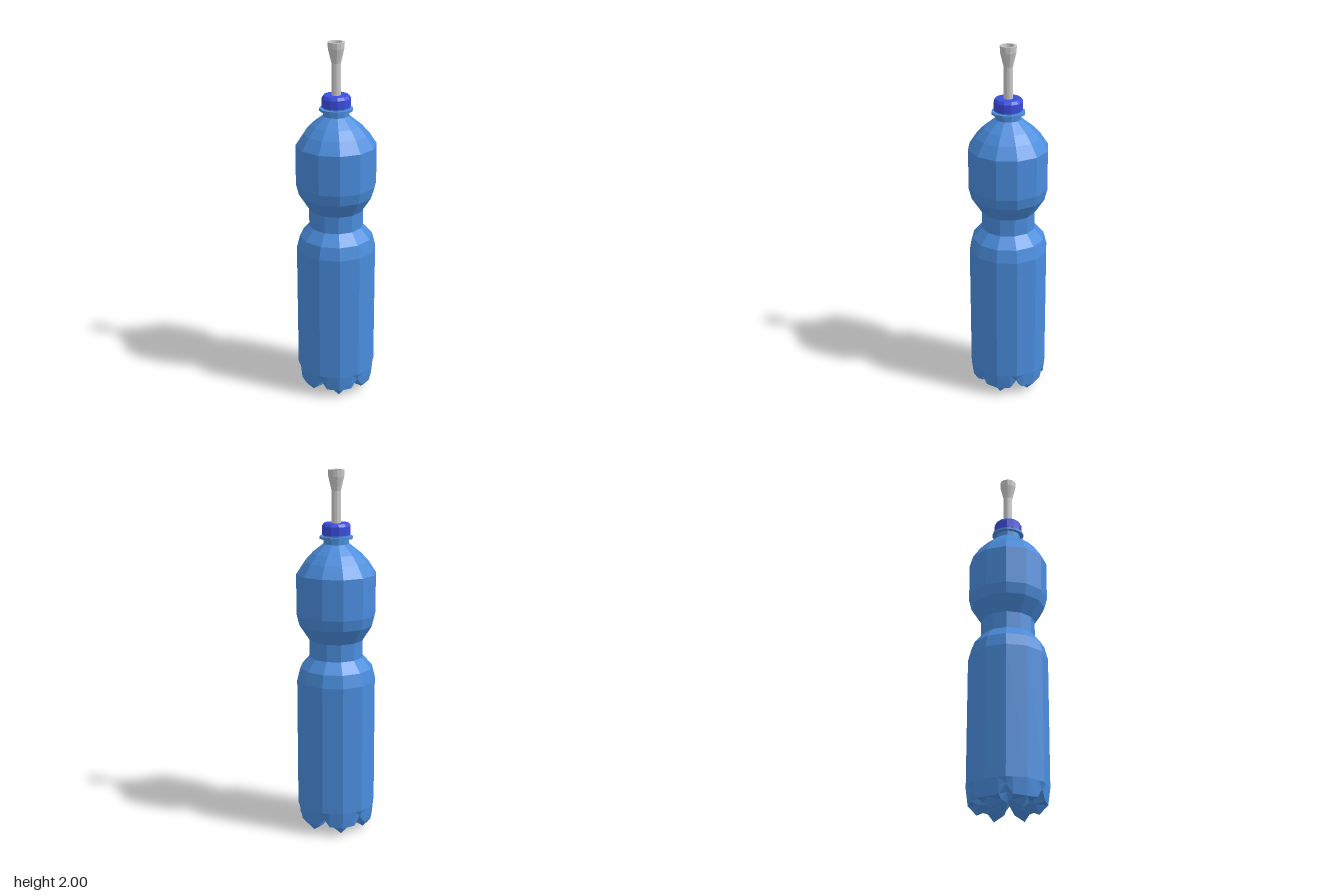
import * as THREE from 'three';

const material = (color) => new THREE.MeshStandardMaterial({
  color, flatShading: true, side: THREE.DoubleSide,
});

// Twelve-sided turned part from [radius, height] pairs
function turned(name, profile, mat) {
  const points = profile.map(([r, y]) => new THREE.Vector2(r, y));
  const mesh = new THREE.Mesh(new THREE.LatheGeometry(points, 12), mat);
  mesh.name = name;
  return mesh;
}

// Base with six feet: per 60 degrees a notch, a foot side, a foot centre, a foot side
function footedBase(mat) {
  const offsets = [0, 10, 30, 50];
  const rimR = (deg) => 0.218 * Math.cos(Math.PI / 12)
    / Math.cos(THREE.MathUtils.degToRad((deg % 30) - 15));
  const notch = [[0.205, 0.105], [0.12, 0.088], [0, 0.065]];
  const side = [[0.203, 0.055], [0.15, 0.04], [0, 0.065]];
  const foot = [[0.206, 0.05], [0.16, 0], [0, 0.065]];
  const columns = [];
  for (let k = 0; k < 6; k++) {
    offsets.forEach((o, i) => {
      const deg = k * 60 + o;
      const a = THREE.MathUtils.degToRad(deg);
      const rows = [[rimR(deg), 0.14], ...[notch, side, foot, side][i]];
      columns.push(rows.map(([r, y]) => [r * Math.cos(a), y, r * Math.sin(a)]));
    });
  }
  const pos = [];
  columns.forEach((c, i) => {
    const d = columns[(i + 1) % columns.length];
    // Mirror the quad split so each foot is symmetric
    const flip = i % 4 < 2;
    for (let j = 0; j < 3; j++) {
      if (j === 2) pos.push(...c[j], ...d[j], ...c[j + 1]);
      else if (flip) pos.push(...c[j], ...d[j], ...c[j + 1], ...d[j], ...d[j + 1], ...c[j + 1]);
      else pos.push(...c[j], ...d[j], ...d[j + 1], ...c[j], ...d[j + 1], ...c[j + 1]);
    }
  });
  const geo = new THREE.BufferGeometry();
  geo.setAttribute('position', new THREE.Float32BufferAttribute(pos, 3));
  geo.computeVertexNormals();
  const mesh = new THREE.Mesh(geo, mat);
  mesh.name = 'footedBase';
  return mesh;
}

export function createModel() {
  const group = new THREE.Group();
  group.name = 'bottle';
  const blue = material(0x4a8ddd);
  const capBlue = material(0x3a4ee0);
  const grey = material(0xcccccc);

  group.add(footedBase(blue));

  // Wall with a pinched waist and a domed shoulder
  group.add(turned('body', [
    [0.218, 0.14], [0.218, 0.86], [0.2, 0.93], [0.148, 0.99], [0.148, 1.085],
    [0.203, 1.17], [0.218, 1.23], [0.218, 1.45], [0.175, 1.515], [0.133, 1.56],
    [0.07, 1.61],
  ], blue));

  // Neck with its collar ring
  group.add(turned('neck', [
    [0.07, 1.605], [0.07, 1.637], [0.09, 1.637], [0.09, 1.65], [0.07, 1.65], [0.07, 1.67],
  ], blue));

  // Cap, open in the middle for the mouthpiece
  group.add(turned('cap', [
    [0.07, 1.658], [0.078, 1.658], [0.078, 1.705], [0.068, 1.72], [0.024, 1.72],
  ], capBlue));

  // Hollow tube flaring to a mouthpiece
  group.add(turned('mouthTube', [
    [0.022, 1.66], [0.025, 1.66], [0.025, 1.89], [0.043, 1.965], [0.045, 2],
    [0.033, 2], [0.031, 1.965], [0.022, 1.89], [0.022, 1.66],
  ], grey));

  return group;
}
